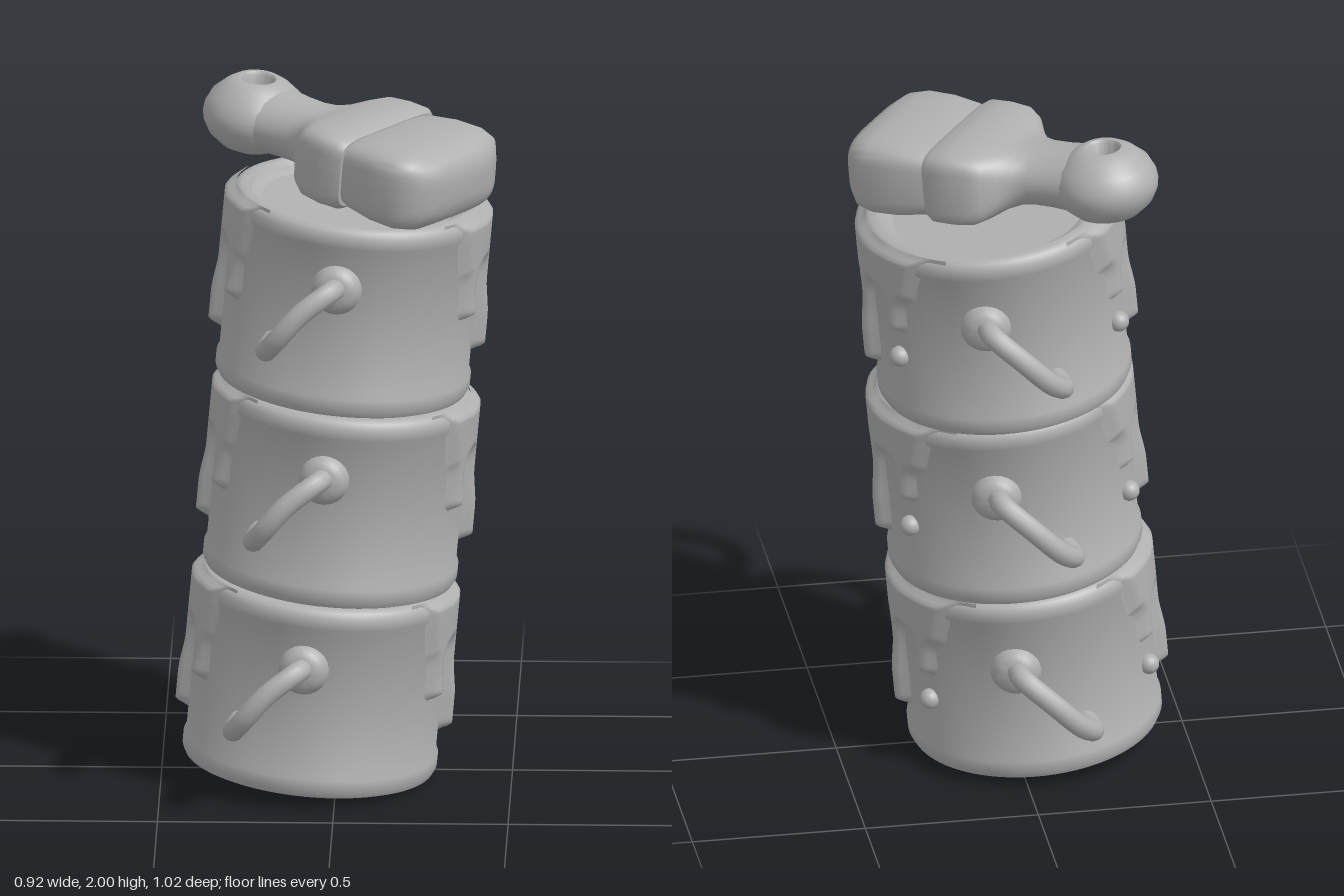
import * as THREE from 'three';
import { toCreasedNormals } from 'three/addons/utils/BufferGeometryUtils.js';

const clay = new THREE.MeshStandardMaterial({ color: 0xb0b0b0 });
clay.name = 'clay grey';

const R = 0.362; // can radius
const H = 0.568; // can height

function mesh(name, geometry, parent) {
  const m = new THREE.Mesh(geometry, clay);
  m.name = name;
  parent.add(m);
  return m;
}

function lathe(pairs, segments, crease) {
  const g = new THREE.LatheGeometry(pairs.map(([x, y]) => new THREE.Vector2(x, y)), segments);
  return toCreasedNormals(g, crease);
}

// Skin through superellipse rings along x: [x, half width, half height, exponent]
function loft(stations, sides = 48) {
  const first = stations[0], last = stations[stations.length - 1];
  const rings = [[first[0], 0, 0, 2], ...stations, [last[0], 0, 0, 2]];
  const pos = [], index = [];
  const power = (v, n) => Math.sign(v) * Math.abs(v) ** (2 / n);
  for (const [x, w, h, n] of rings) {
    for (let j = 0; j < sides; j++) {
      const t = (j / sides) * Math.PI * 2;
      pos.push(x, h * power(Math.cos(t), n), w * power(Math.sin(t), n));
    }
  }
  for (let i = 0; i < rings.length - 1; i++) {
    for (let j = 0; j < sides; j++) {
      const a = i * sides + j, b = i * sides + (j + 1) % sides;
      index.push(a, b, a + sides, b, b + sides, a + sides);
    }
  }
  const g = new THREE.BufferGeometry();
  g.setAttribute('position', new THREE.Float32BufferAttribute(pos, 3));
  g.setIndex(index);
  return toCreasedNormals(g, 0.8);
}

// Signed distance to the drip outline on the can wall (negative inside)
function dripDistance(z, y) {
  const smin = (a, b, k) => {
    const t = Math.max(k - Math.abs(a - b), 0) / k;
    return Math.min(a, b) - t * t * k / 4;
  };
  let d = Math.max(Math.abs(z + 0.03) - (0.2 + 0.27 * (y - 0.4)), 0.42 - y, y - 0.562);
  for (const [cz, end, r] of [[0.15, 0.295, 0.03], [-0.012, 0.165, 0.036], [-0.18, 0.325, 0.027]]) {
    const dy = Math.max(end - y, 0, y - 0.5);
    d = smin(d, Math.hypot(z - cz, dy) - r, 0.06);
  }
  return d;
}

// Curved patch raised where the drips run and sunk under the wall elsewhere
function dripPatch(side) {
  const g = new THREE.PlaneGeometry(0.56, 0.46, 64, 56);
  const p = g.attributes.position;
  for (let i = 0; i < p.count; i++) {
    const z = -side * p.getX(i) - 0.03, y = p.getY(i) + 0.34;
    const rise = THREE.MathUtils.smoothstep(-dripDistance(z, y), -0.008, 0.022);
    const bulge = 0.034 + 0.012 * THREE.MathUtils.smoothstep(0.35 - y, 0, 0.12);
    p.setXYZ(i, side * (Math.sqrt(R * R - z * z) - 0.012 + bulge * rise), y, z);
  }
  g.computeVertexNormals();
  return g;
}

const canShape = lathe([
  [0, 0.04], [0.26, 0.04], [0.275, 0.008], [0.295, 0], [0.335, 0], [0.355, 0.008], [R + 0.002, 0.026],
  [R + 0.002, 0.06], [R - 0.005, 0.074], [R - 0.005, 0.5], [R + 0.002, 0.512], [R + 0.002, 0.544],
  [0.354, 0.56], [0.338, H], [0.318, H], [0.306, 0.552], [0.285, 0.548], [0.275, 0.54], [0, 0.54],
], 72, 0.6);
const drips = [1, -1].map((side) => [side, dripPatch(side)]);
const v = (x, y, z) => new THREE.Vector3(x, y, z);
const grips = [
  ['front', [v(-0.04, 0.385, 0.34), v(-0.06, 0.395, 0.42), v(-0.14, 0.33, 0.455),
    v(-0.2, 0.245, 0.445), v(-0.225, 0.195, 0.39), v(-0.21, 0.2, 0.31)]],
  ['back', [v(0.08, 0.355, -0.33), v(0.075, 0.365, -0.42), v(0, 0.29, -0.46),
    v(-0.075, 0.2, -0.45), v(-0.115, 0.155, -0.4), v(-0.1, 0.16, -0.32)]],
].map(([name, path]) => [name, path, new THREE.TubeGeometry(new THREE.CatmullRomCurve3(path), 40, 0.031, 12)]);

function makeCan() {
  const can = new THREE.Group();
  mesh('canBody', canShape, can);
  // Drips and a loose droplet on both sides
  for (const [side, shape] of drips) {
    mesh('paintDrips', shape, can);
    const drop = mesh('paintDroplet', new THREE.SphereGeometry(0.03, 18, 12), can);
    drop.position.set(side * 0.318, 0.22, -0.18);
  }
  // Wire grips, each hanging from a round lug
  for (const [name, path, tube] of grips) {
    mesh(name + 'Grip', tube, can);
    const tip = mesh(name + 'GripTip', new THREE.SphereGeometry(0.031, 12, 10), can);
    tip.position.copy(path[path.length - 1]);
    const lug = mesh(name + 'Lug', lathe([
      [0.075, -0.05], [0.072, 0.02], [0.058, 0.04], [0.04, 0.05], [0, 0.052],
    ], 24, 0.7), can);
    lug.position.copy(path[0]);
    const out = v(path[0].x, 0, path[0].z).normalize();
    lug.quaternion.setFromUnitVectors(v(0, 1, 0), out);
  }
  return can;
}

function makeBrush() {
  const brush = new THREE.Group();
  brush.name = 'brush';
  // Bulbous handle end with a hanging hole
  const knob = mesh('handleEnd', lathe([
    [0, -0.115], [0.05, -0.109], [0.095, -0.089], [0.13, -0.057], [0.147, -0.022], [0.15, 0],
    [0.147, 0.022], [0.13, 0.057], [0.095, 0.089], [0.065, 0.107], [0.052, 0.107], [0.045, 0.098],
    [0.041, 0.04], [0, 0.035],
  ], 48, 0.7), brush);
  knob.position.x = -0.338;
  mesh('handleAndFerrule', loft([
    [-0.272, 0.122, 0.094, 2], [-0.2, 0.118, 0.088, 2], [-0.14, 0.116, 0.086, 2.1],
    [-0.1, 0.125, 0.086, 2.4], [-0.065, 0.16, 0.09, 3], [-0.035, 0.2, 0.1, 4.5],
    [0, 0.217, 0.111, 6], [0.06, 0.224, 0.116, 6], [0.12, 0.225, 0.114, 6], [0.14, 0.215, 0.102, 6],
  ]), brush);
  mesh('bristles', loft([
    [0.12, 0.2, 0.092, 5], [0.16, 0.212, 0.106, 5], [0.24, 0.222, 0.117, 5], [0.32, 0.224, 0.118, 5],
    [0.37, 0.208, 0.11, 5], [0.4, 0.175, 0.092, 4], [0.418, 0.13, 0.065, 4], [0.424, 0.08, 0.035, 3],
  ]), brush);
  brush.position.set(0.03, 1.857, -0.04);
  brush.rotation.set(0, -0.6435, -0.094, 'YXZ');
  return brush;
}

export function createModel() {
  const model = new THREE.Group();
  model.name = 'leaningPaintCans';
  // Leaning stack of three cans
  const stack = [['bottomCan', -0.08, 0.033, 0.02], ['middleCan', -0.022, 0.6, 0.012], ['topCan', 0.013, 1.162, -0.015]];
  for (const [name, x, y, z] of stack) {
    const can = makeCan();
    can.name = name;
    can.position.set(x, y, z);
    can.rotation.z = -0.09;
    model.add(can);
  }
  model.add(makeBrush());
  return model;
}
